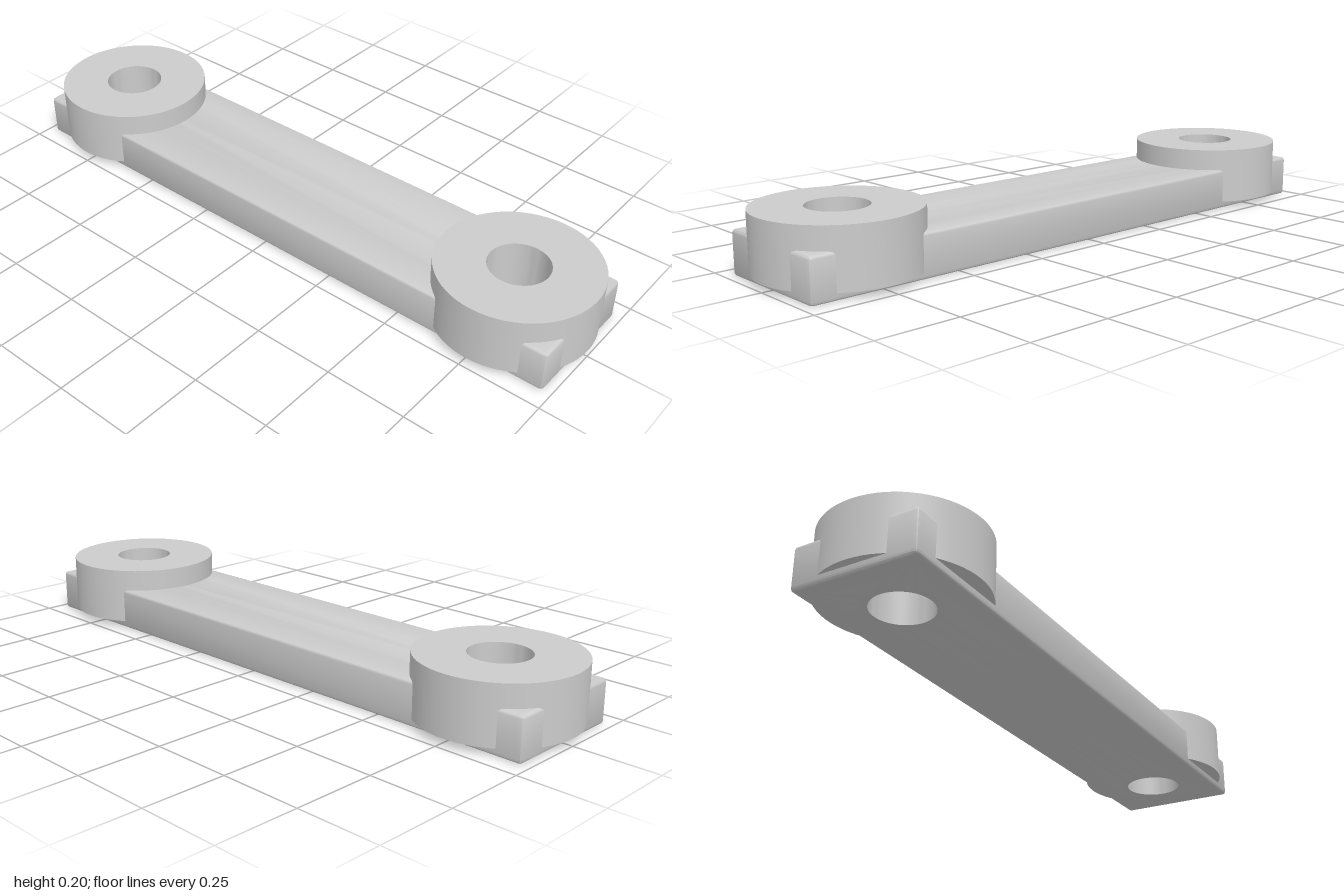
import * as THREE from 'three';
import { toCreasedNormals } from 'three/addons/utils/BufferGeometryUtils.js';

const material = new THREE.MeshStandardMaterial({ color: 0xcccccc });

const HALF_LENGTH = 0.975, HALF_WIDTH = 0.195, BAR_HEIGHT = 0.13, ROUND = 0.01;
const EYE_X = 0.762, EYE_RADIUS = 0.238, BORE = 0.09, SLEEVE = 0.11;

function roundedRect(hx, hy, r) {
  const s = new THREE.Shape();
  s.absarc(hx - r, hy - r, r, 0, Math.PI / 2);
  s.absarc(-hx + r, hy - r, r, Math.PI / 2, Math.PI);
  s.absarc(-hx + r, -hy + r, r, Math.PI, Math.PI * 1.5);
  s.absarc(hx - r, -hy + r, r, Math.PI * 1.5, Math.PI * 2);
  return s;
}

function addMesh(group, name, geometry, crease) {
  const mesh = new THREE.Mesh(toCreasedNormals(geometry, crease), material);
  mesh.name = name;
  group.add(mesh);
  return mesh;
}

export function createModel() {
  const group = new THREE.Group();
  group.name = 'linkBar';

  // flat bar with softened edges and an opening for each eye
  const outline = roundedRect(HALF_LENGTH, HALF_WIDTH, ROUND * 1.3);
  for (const side of [-1, 1]) {
    const hole = new THREE.Path();
    hole.absarc(side * EYE_X, 0, SLEEVE - ROUND, 0, Math.PI * 2, true);
    outline.holes.push(hole);
  }
  const bar = new THREE.ExtrudeGeometry(outline, {
    depth: BAR_HEIGHT - 2 * ROUND, curveSegments: 32,
    bevelThickness: ROUND, bevelSize: ROUND, bevelOffset: -ROUND, bevelSegments: 3,
  });
  bar.translate(0, 0, ROUND).rotateX(-Math.PI / 2);
  addMesh(group, 'bar', bar, 0.6);

  // thick round eyes, whose bore runs down to the underside of the bar
  const profile = [
    [BORE, 0], [SLEEVE, 0], [SLEEVE, 0.022], [EYE_RADIUS, 0.022],
    [EYE_RADIUS, 0.197], [BORE, 0.197], [BORE, 0],
  ].map(([x, y]) => new THREE.Vector2(x, y));
  for (const [name, side] of [['leftEye', 1], ['rightEye', -1]]) {
    const eye = addMesh(group, name, new THREE.LatheGeometry(profile, 64), 0.6);
    eye.position.x = side * EYE_X;
  }
  return group;
}
